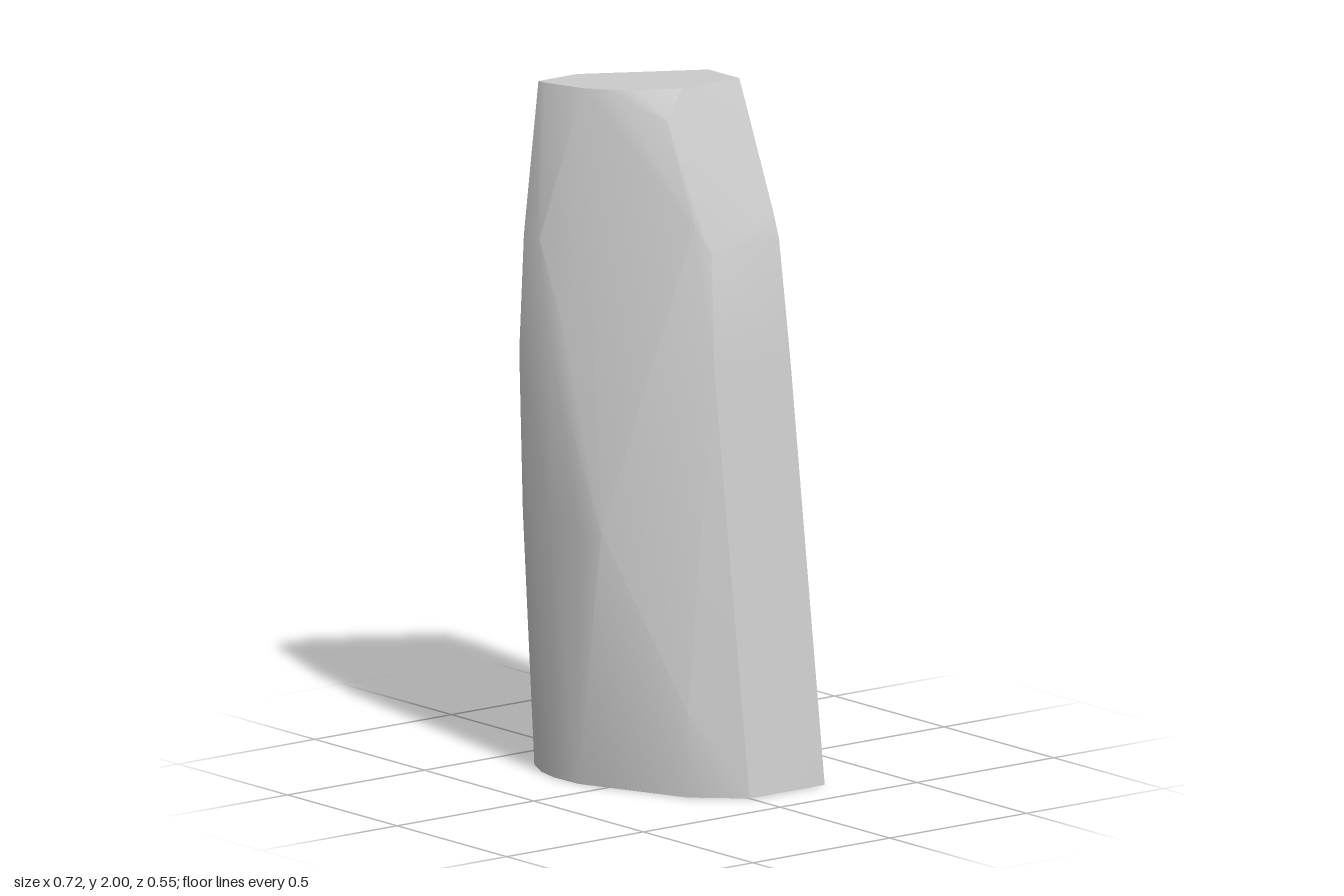
import * as THREE from 'three';
import { toCreasedNormals } from 'three/addons/utils/BufferGeometryUtils.js';
import { ConvexGeometry } from 'three/addons/geometries/ConvexGeometry.js';

// Cross-sections: height, then [x, z] corners of the outline at that height
const sections = [
  // flat base
  [0, [[0.36, -0.275], [0.36, 0], [0.24, 0.13], [-0.09, 0.265], [-0.2, 0.268],
    [-0.28, 0.25], [-0.36, 0.21], [-0.36, 0.058], [0.21, -0.275]]],
  // swelling front and tapering side
  [0.25, [[0.24, 0.13]]],
  [0.75, [[0, 0.253], [-0.08, 0.268], [-0.2, 0.275], [-0.36, 0.252]]],
  [1.22, [[0.203, -0.275], [0.2, 0], [-0.14, 0.25], [-0.2, 0.272], [-0.36, 0.265]]],
  // shoulder bevel
  [1.56, [[0.152, -0.275], [0.15, -0.03], [-0.28, 0.255], [-0.36, 0.248]]],
  [1.63, [[0.128, -0.275], [0.11, 0]]],
  [1.92, [[0.005, -0.275], [0, 0.012]]],
  // flat top
  [2, [[-0.17, -0.275], [-0.03, -0.275], [-0.03, -0.065], [-0.09, 0.055],
    [-0.15, 0.11], [-0.21, 0.153], [-0.33, 0.193], [-0.36, 0.195], [-0.36, 0.055]]],
];

export function createModel() {
  const group = new THREE.Group();
  group.name = 'facetedBlock';

  const points = sections.flatMap(([y, outline]) =>
    outline.map(([x, z]) => new THREE.Vector3(x, y, z)));

  // Solid block with soft front facets and sharp main edges
  const body = new THREE.Mesh(
    toCreasedNormals(new ConvexGeometry(points), 0.45),
    new THREE.MeshStandardMaterial({ color: 0xcccccc }),
  );
  body.name = 'body';
  group.add(body);
  return group;
}
